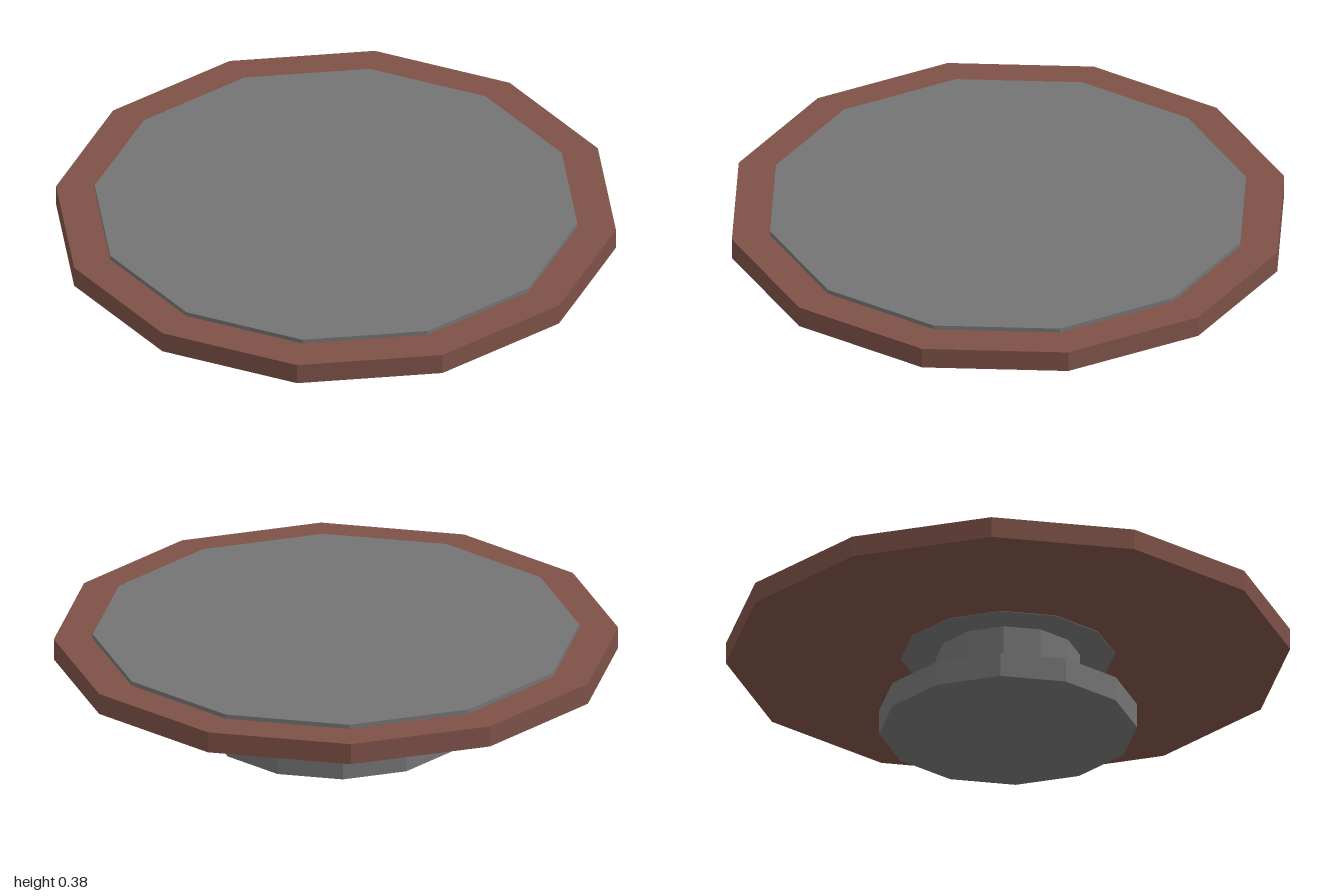
import * as THREE from 'three';

const SIDES = 12;

export function createModel() {
  const group = new THREE.Group();
  group.name = 'roundTable';

  const grey = new THREE.MeshStandardMaterial({ color: 0x747474 });
  grey.name = 'grey';
  const brown = new THREE.MeshStandardMaterial({ color: 0x7d5147 });
  brown.name = 'reddish brown';

  // Twelve-sided disc between two heights, with crisp facets
  function disc(name, radius, bottom, top, material) {
    const height = top - bottom;
    const geometry = new THREE.CylinderGeometry(radius, radius, height, SIDES).toNonIndexed();
    geometry.computeVertexNormals();
    const mesh = new THREE.Mesh(geometry, material);
    mesh.name = name;
    mesh.position.y = bottom + height / 2;
    group.add(mesh);
  }

  disc('base', 0.457, 0, 0.09, grey);
  disc('column', 0.255, 0.09, 0.29, grey);
  // Thin mounting plate under the top
  disc('mountingPlate', 0.38, 0.288, 0.292, grey);
  disc('tabletop', 1, 0.29, 0.367, brown);
  // Raised inlay on the tabletop
  disc('inlay', 0.862, 0.367, 0.383, grey);

  return group;
}
